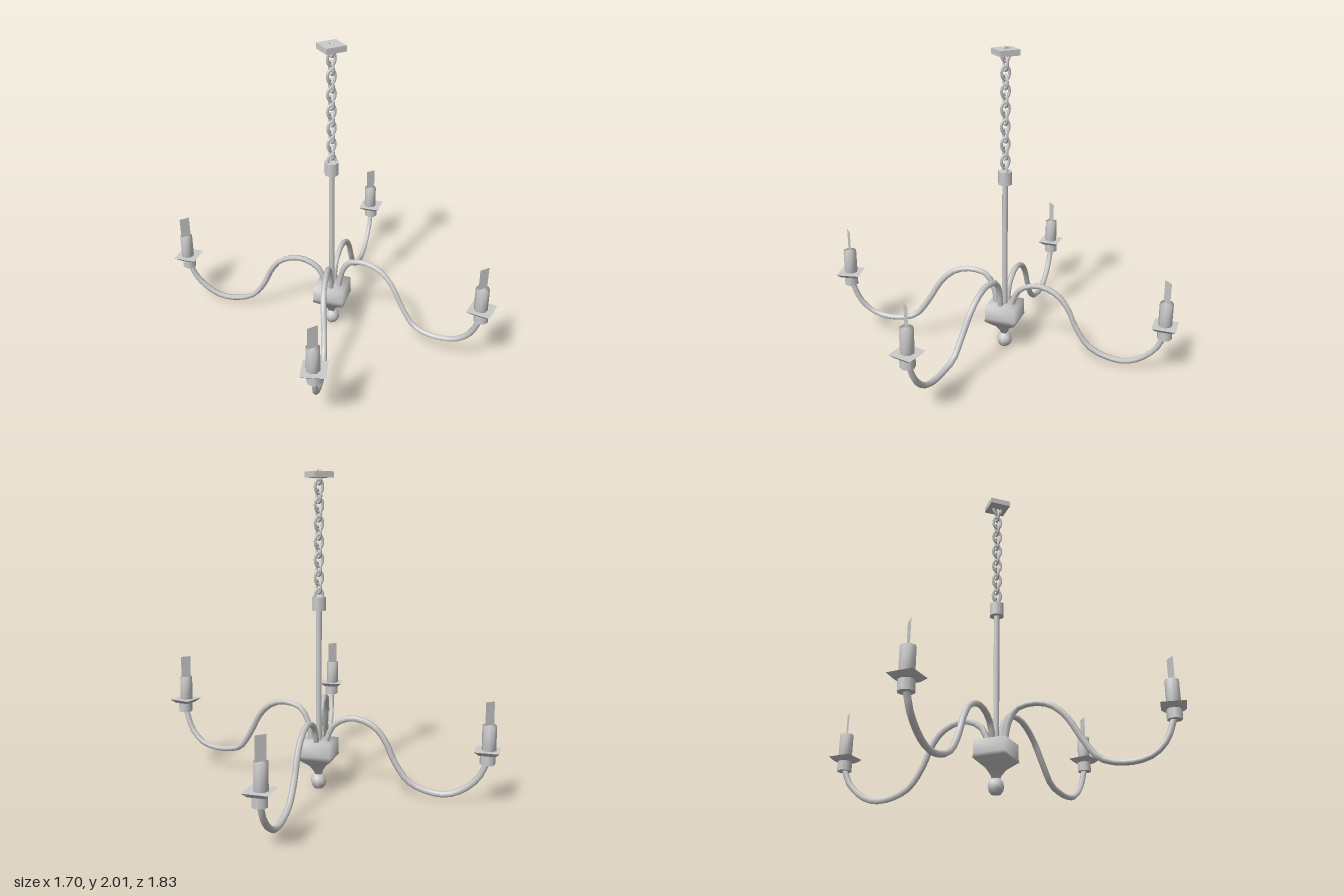
import * as THREE from 'three';
import { mergeVertices } from 'three/addons/utils/BufferGeometryUtils.js';

const AXIS_Z = -0.065; // the hanging axis sits slightly behind the middle
const grey = new THREE.MeshStandardMaterial({ color: 0xcccccc });
const greyThin = new THREE.MeshStandardMaterial({ color: 0xcccccc, side: THREE.DoubleSide });

function add(parent, name, geometry, x = 0, y = 0, z = 0, material = grey) {
  const mesh = new THREE.Mesh(geometry, material);
  mesh.name = name;
  mesh.position.set(x, y, z);
  parent.add(mesh);
  return mesh;
}

// weld all corners so shading runs smoothly over the low-poly edges
function smooth(geometry) {
  geometry.deleteAttribute('normal');
  geometry.deleteAttribute('uv');
  const welded = mergeVertices(geometry);
  welded.computeVertexNormals();
  return welded;
}

function lathe(profile, sides) {
  return smooth(new THREE.LatheGeometry(profile.map(([r, y]) => new THREE.Vector2(r, y)), sides));
}

// oval chain link standing upright in the xy plane
function linkGeometry() {
  const points = [];
  for (let i = 0; i < 10; i++) {
    const a = (i / 10) * Math.PI * 2;
    points.push(new THREE.Vector3(0.026 * Math.cos(a), 0.043 * Math.sin(a), 0));
  }
  return new THREE.TubeGeometry(new THREE.CatmullRomCurve3(points, true), 16, 0.009, 6, true);
}

// arm paths for the +x side, as [x, y, z]
const frontPath = [
  [0.03, 0.33, -0.021], [0.045, 0.44, -0.005], [0.075, 0.52, 0.032], [0.115, 0.545, 0.085],
  [0.162, 0.547, 0.153], [0.208, 0.518, 0.217], [0.248, 0.444, 0.286], [0.283, 0.312, 0.36],
  [0.325, 0.2, 0.434], [0.36, 0.17, 0.497], [0.435, 0.16, 0.598], [0.505, 0.19, 0.688],
  [0.55, 0.27, 0.757], [0.578, 0.41, 0.806],
];
// the back arms run straight out: [distance fraction, y]
const backPath = [
  [0.05, 0.33], [0.083, 0.418], [0.14, 0.465], [0.197, 0.482], [0.26, 0.478], [0.352, 0.43],
  [0.416, 0.34], [0.458, 0.24], [0.543, 0.115], [0.636, 0.066], [0.763, 0.05], [0.862, 0.09],
  [0.954, 0.18], [1, 0.285],
].map(([u, y]) => [0.745 * u, y, AXIS_Z - 0.747 * u]);

// curved arm with cup, square drip pan, candle and flat flame
function addArm(parent, name, path, side, panTop) {
  const arm = new THREE.Group();
  arm.name = name;
  parent.add(arm);

  const points = path.map(([x, y, z]) => new THREE.Vector3(x * side, y, z));
  const end = points[points.length - 1];
  const yaw = Math.atan2(end.x, end.z - AXIS_Z) + Math.PI / 4;
  add(arm, 'armTube', new THREE.TubeGeometry(new THREE.CatmullRomCurve3(points), 26, 0.019, 6, false),
    0, 0, 0, greyThin);

  const cup = add(arm, 'cup', new THREE.CylinderGeometry(0.046, 0.046, 0.07, 8), end.x, panTop - 0.052, end.z);
  const pan = add(arm, 'dripPan', new THREE.CylinderGeometry(0.105, 0.07, 0.025, 4), end.x, panTop - 0.0125, end.z);
  cup.rotation.y = pan.rotation.y = yaw;

  const cx = end.x - 0.006;
  add(arm, 'candle', smooth(new THREE.CylinderGeometry(0.043, 0.043, 0.165, 8)), cx, panTop + 0.07, end.z - 0.003);
  add(arm, 'flame', new THREE.PlaneGeometry(0.067, 0.15), cx, panTop + 0.22, end.z - 0.003, greyThin);
}

export function createModel() {
  const model = new THREE.Group();
  model.name = 'chandelier';

  // ceiling plate, stem and its collar
  add(model, 'ceilingPlate', new THREE.BoxGeometry(0.132, 0.036, 0.132), 0, 1.982, AXIS_Z);
  add(model, 'stem', new THREE.CylinderGeometry(0.019, 0.019, 0.86, 8), 0, 0.74, AXIS_Z);
  add(model, 'collar', new THREE.CylinderGeometry(0.046, 0.046, 0.085, 8), 0, 1.198, AXIS_Z);

  // chain of links turned alternately
  const chain = new THREE.Group();
  chain.name = 'chain';
  model.add(chain);
  const link = linkGeometry();
  for (let i = 0; i < 14; i++) {
    const mesh = add(chain, 'link', link, 0, 1.247 + i * 0.0553, AXIS_Z);
    mesh.rotation.y = (i % 2) * Math.PI / 2;
  }

  // four-sided hub with a round finial below
  add(model, 'hub', lathe([
    [0, 0.085], [0.02, 0.09], [0.035, 0.125], [0.065, 0.163], [0.148, 0.217],
    [0.143, 0.24], [0.143, 0.325], [0, 0.325],
  ], 4), 0, 0, AXIS_Z);
  add(model, 'finial', lathe([
    [0, 0.01], [0.03, 0.013], [0.046, 0.036], [0.051, 0.058], [0.046, 0.08], [0.03, 0.103], [0, 0.106],
  ], 8), 0, 0, AXIS_Z);

  for (const [label, side] of [['Left', 1], ['Right', -1]]) {
    addArm(model, 'front' + label + 'Arm', frontPath, side, 0.476);
    addArm(model, 'back' + label + 'Arm', backPath, side, 0.354);
  }
  return model;
}
